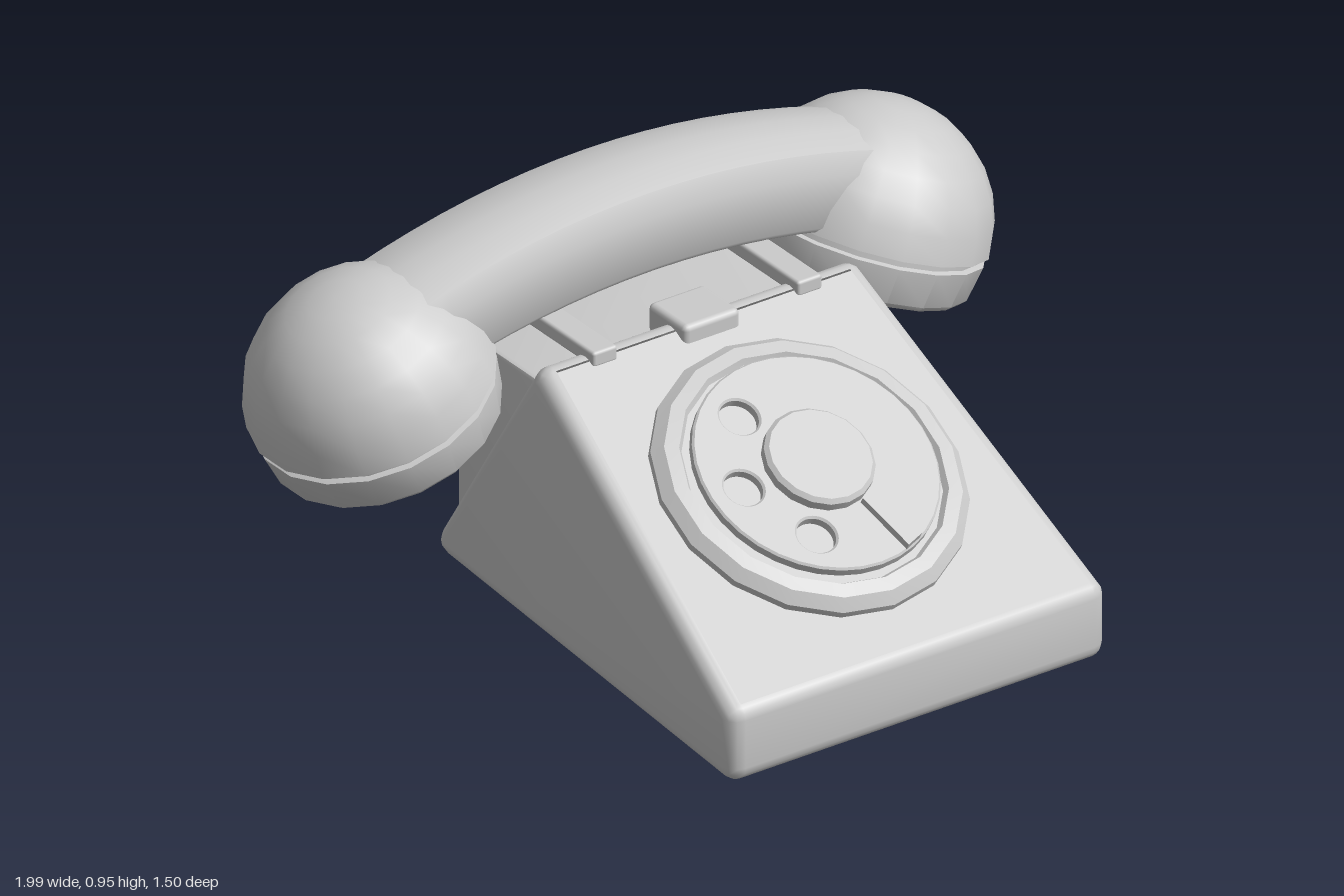
import * as THREE from 'three';
import { toCreasedNormals } from 'three/addons/utils/BufferGeometryUtils.js';
import { RoundedBoxGeometry } from 'three/addons/geometries/RoundedBoxGeometry.js';
import { ConvexGeometry } from 'three/addons/geometries/ConvexGeometry.js';

const grey = new THREE.MeshStandardMaterial({ color: 0xcccccc });
const greyThin = new THREE.MeshStandardMaterial({ color: 0xcccccc, side: THREE.DoubleSide });
const V2 = (x, y) => new THREE.Vector2(x, y);

function add(parent, name, geometry, material = grey) {
  const mesh = new THREE.Mesh(geometry, material);
  mesh.name = name;
  parent.add(mesh);
  return mesh;
}

function box(parent, name, x, y0, y1, z0, z1, width, radius = 0.008) {
  const mesh = add(parent, name, new RoundedBoxGeometry(width, y1 - y0, z1 - z0, 2, radius));
  mesh.position.set(x, (y0 + y1) / 2, (z0 + z1) / 2);
}

// Body corners: centres of the small balls that round every edge
const R = 0.04;
const FRONT = new THREE.Vector3(0.495, 0.165, 0.71);
const TOP = new THREE.Vector3(0.417, 0.638, -0.125);
const CORNERS = [new THREE.Vector3(0.495, R, 0.71), FRONT, TOP, new THREE.Vector3(0.397, R, -0.525)];
const SLOPE = Math.atan2(TOP.y - FRONT.y, FRONT.z - TOP.z);
const NORMAL = new THREE.Vector3(0, Math.cos(SLOPE), Math.sin(SLOPE));
const LEVEL = NORMAL.dot(FRONT) + R;

// Rounded wedge shell, open underneath and on the slope (which has its own panel)
function bodyGeometry() {
  const ball = new THREE.SphereGeometry(R, 12, 8).attributes.position;
  const points = [];
  for (const side of [-1, 1]) for (const c of CORNERS) {
    const centre = new THREE.Vector3(side * c.x, c.y, c.z);
    for (let i = 0; i < ball.count; i++) points.push(new THREE.Vector3().fromBufferAttribute(ball, i).add(centre));
    if (c === FRONT || c === TOP) points.push(centre.clone().addScaledVector(NORMAL, R));
  }
  const hull = new ConvexGeometry(points).attributes.position;
  const kept = [];
  for (let i = 0; i < hull.count; i += 3) {
    const tri = [0, 1, 2].map((k) => new THREE.Vector3().fromBufferAttribute(hull, i + k));
    const bottom = tri.every((p) => p.y < 0.001);
    const slope = tri.every((p) => Math.abs(NORMAL.dot(p) - LEVEL) < 0.0005);
    if (!bottom && !slope) tri.forEach((p) => kept.push(p.x, p.y, p.z));
  }
  const geometry = new THREE.BufferGeometry();
  geometry.setAttribute('position', new THREE.Float32BufferAttribute(kept, 3));
  return toCreasedNormals(geometry, 0.7);
}

function buildDial() {
  const dial = new THREE.Group();
  dial.name = 'dial';
  const z = 0.305;
  dial.position.set(0, (LEVEL - NORMAL.z * z) / NORMAL.y, z);
  dial.rotation.x = SLOPE;

  // Sloping panel with the round opening for the dial
  const along = (c) => (dial.position.z - c.z - R * NORMAL.z) / Math.cos(SLOPE);
  const panel = new THREE.Shape([
    V2(-FRONT.x, along(FRONT)), V2(FRONT.x, along(FRONT)), V2(TOP.x, along(TOP)), V2(-TOP.x, along(TOP)),
  ]);
  panel.holes.push(new THREE.Path().absarc(0, 0, 0.36, 0, Math.PI * 2, true));
  add(dial, 'slopePanel', new THREE.ShapeGeometry(panel, 18).rotateX(-Math.PI / 2), greyThin);

  // Deep collar, stepped bezel and dial floor
  const bezel = [
    V2(0.36, -0.19), V2(0.36, 0), V2(0.385, 0), V2(0.385, 0.018), V2(0.36, 0.045),
    V2(0.325, 0.05), V2(0.315, 0.035), V2(0, 0.035),
  ];
  add(dial, 'dialBezel', toCreasedNormals(new THREE.LatheGeometry(bezel, 18), 0.4), greyThin);

  // Finger wheel with three holes
  const wheel = new THREE.Shape().absarc(0, 0, 0.295, 0, Math.PI * 2);
  for (const degrees of [122, 180, 238]) {
    const a = THREE.MathUtils.degToRad(degrees);
    wheel.holes.push(new THREE.Path().absarc(0.207 * Math.cos(a), 0.207 * Math.sin(a), 0.053, 0, Math.PI * 2, true));
  }
  const wheelGeometry = new THREE.ExtrudeGeometry(wheel, {
    depth: 0.02, curveSegments: 18, bevelEnabled: true, bevelThickness: 0.005, bevelSize: 0.005, bevelSegments: 1,
  }).rotateX(-Math.PI / 2);
  add(dial, 'fingerWheel', toCreasedNormals(wheelGeometry, 0.5)).position.y = 0.047;

  const hub = [V2(0.135, 0.06), V2(0.135, 0.095), V2(0.125, 0.105), V2(0, 0.105)];
  add(dial, 'dialHub', toCreasedNormals(new THREE.LatheGeometry(hub, 18), 0.5));

  // Wedge-shaped finger stop
  const stop = new THREE.Shape([V2(0.14, -0.008), V2(0.295, -0.026), V2(0.295, 0.026), V2(0.14, 0.008)]);
  const stopMesh = add(dial, 'fingerStop',
    new THREE.ExtrudeGeometry(stop, { depth: 0.03, bevelEnabled: false }).rotateX(-Math.PI / 2));
  stopMesh.position.y = 0.06;
  stopMesh.rotation.y = THREE.MathUtils.degToRad(-70);
  return dial;
}

function buildHandset() {
  const handset = new THREE.Group();
  handset.name = 'handset';
  handset.position.z = -0.445;

  // Handle: rounded section, extruded sideways and bowed
  const section = new THREE.Shape([
    V2(-0.145, 0.722), V2(0.145, 0.722), V2(0.155, 0.735), V2(0.152, 0.865), V2(0.128, 0.918), V2(0.065, 0.943),
    V2(0, 0.95), V2(-0.065, 0.943), V2(-0.128, 0.918), V2(-0.152, 0.865), V2(-0.155, 0.735),
  ]);
  const handle = new THREE.ExtrudeGeometry(section, { depth: 1.32, steps: 16, bevelEnabled: false });
  handle.translate(0, 0, -0.66).rotateY(Math.PI / 2);
  const p = handle.attributes.position;
  for (let i = 0; i < p.count; i++) p.setY(i, p.getY(i) - 0.23 * p.getX(i) ** 2);
  add(handset, 'handle', toCreasedNormals(handle, 0.75));

  // Domed ends with a groove and a flat cap
  const profile = [
    V2(0, -0.113), V2(0.272, -0.113), V2(0.284, -0.1), V2(0.298, -0.012), V2(0.284, -0.008), V2(0.284, 0.01),
  ];
  for (let i = 0; i <= 7; i++) {
    const a = THREE.MathUtils.lerp(0.035, Math.PI / 2, i / 7);
    profile.push(V2(Math.max(0, 0.304 * Math.cos(a)), 0.302 * Math.sin(a)));
  }
  const dome = toCreasedNormals(new THREE.LatheGeometry(profile, 18), 0.6);
  for (const side of [-1, 1]) {
    const end = add(handset, side > 0 ? 'leftEarpiece' : 'rightMouthpiece', dome);
    end.position.set(side * 0.697, 0.563, 0);
    end.rotation.z = -side * THREE.MathUtils.degToRad(21);
  }
  return handset;
}

// Wedge that fills the space behind the sloping back of the body
function housingGeometry() {
  const b = 0.012;
  const profile = new THREE.Shape([V2(0.538, 0.1), V2(0.538, 0.575), V2(0.25, 0.575), V2(0.235, 0.56)]);
  const geometry = new THREE.ExtrudeGeometry(profile, {
    depth: 0.77 - 2 * b, bevelEnabled: true, bevelThickness: b, bevelSize: b, bevelSegments: 2,
  });
  geometry.translate(0, 0, b - 0.385).rotateY(Math.PI / 2).rotateY(Math.PI / 2).rotateY(-Math.PI / 2);
  // The profile runs backwards from the front, so turn it to face -z
  return toCreasedNormals(geometry, 0.6);
}

export function createModel() {
  const model = new THREE.Group();
  model.name = 'telephone';
  add(model, 'body', bodyGeometry(), greyThin);
  model.add(buildDial(), buildHandset());

  // Rear housing and cradle
  add(model, 'rearHousing', housingGeometry());
  box(model, 'cradleLatch', 0, 0.62, 0.698, -0.22, -0.07, 0.16, 0.015);
  for (const x of [-0.29, 0.29]) {
    box(model, 'cradleArm', x, 0.66, 0.7, -0.63, -0.09, 0.07);
    box(model, 'cradleRearPost', x, 0.355, 0.7, -0.63, -0.56, 0.07);
    box(model, 'cradleBracket', x, 0.355, 0.4, -0.6, -0.53, 0.05);
  }
  return model;
}
